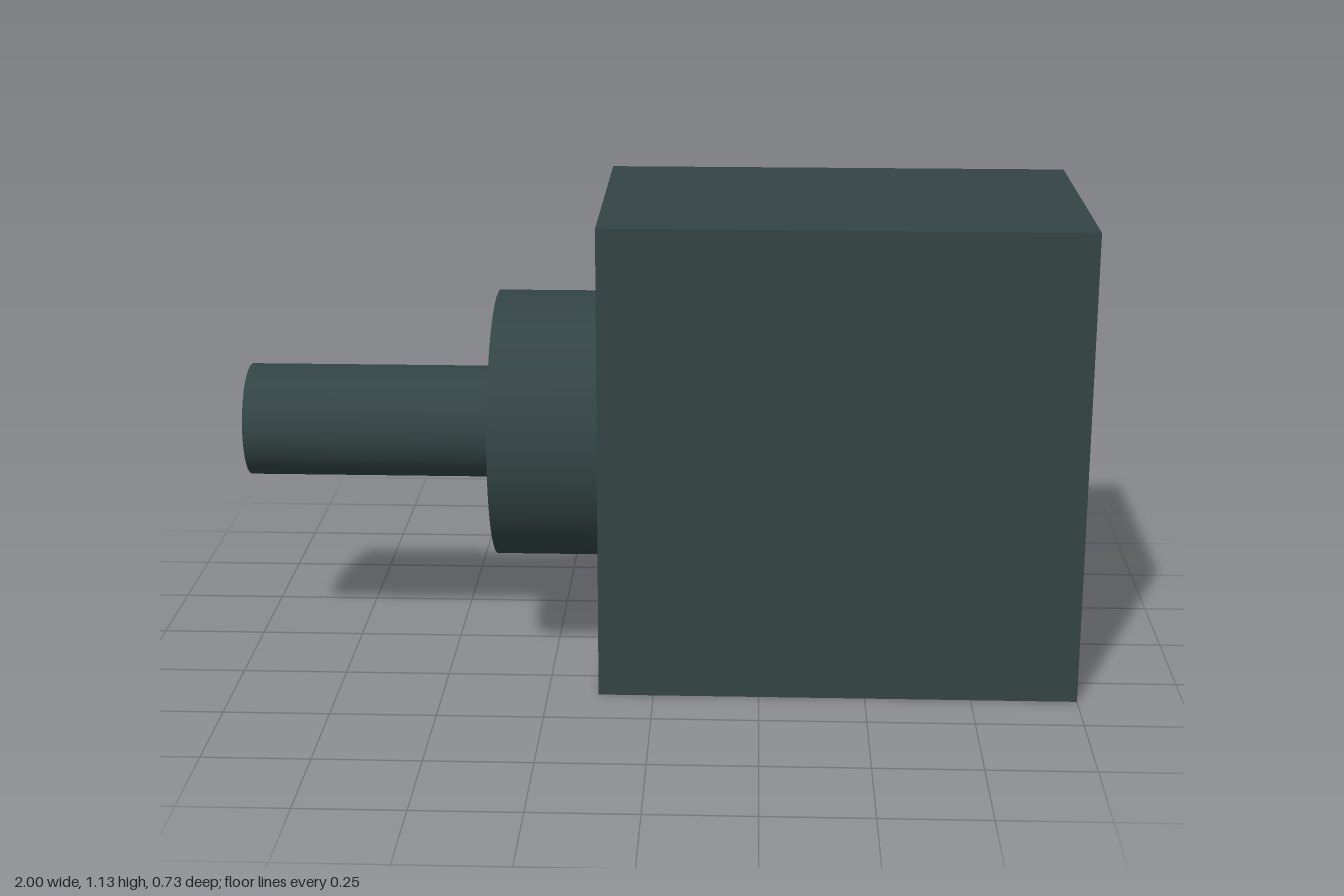
import * as THREE from 'three';

const AXIS_Y = 0.565;

export function createModel() {
  const group = new THREE.Group();
  const darkSlate = new THREE.MeshStandardMaterial({ color: 0x334444 });
  darkSlate.name = 'dark slate';

  // Rectangular housing
  const housing = new THREE.Mesh(new THREE.BoxGeometry(1.13, 1.13, 0.726), darkSlate);
  housing.name = 'housing';
  housing.position.set(0.435, AXIS_Y, 0);
  group.add(housing);

  // Cylinder lying along x, from x0 to x1
  const addRod = (name, radius, x0, x1) => {
    const geometry = new THREE.CylinderGeometry(radius, radius, x1 - x0, 64);
    geometry.rotateZ(Math.PI / 2);
    const rod = new THREE.Mesh(geometry, darkSlate);
    rod.name = name;
    rod.position.set((x0 + x1) / 2, AXIS_Y, 0);
    group.add(rod);
  };

  // Wide collar against the housing, then the slim shaft
  addRod('collar', 0.323, -0.39, -0.13);
  addRod('shaft', 0.136, -1, -0.39);

  return group;
}
